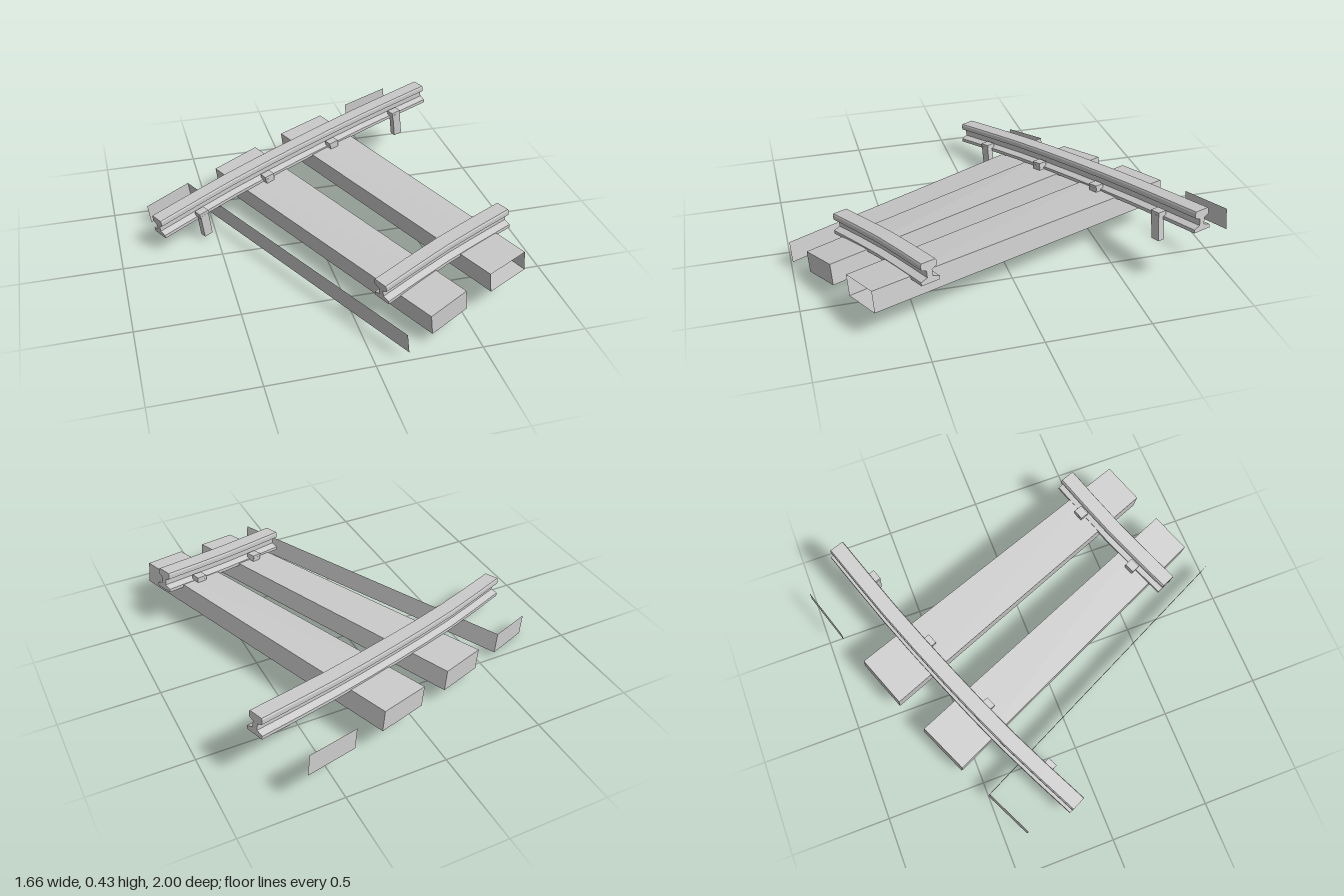
import * as THREE from 'three';

const mat = new THREE.MeshStandardMaterial({ color: 0xcccccc, flatShading: true, side: THREE.DoubleSide });

function addMesh(parent, geometry, name) {
  const mesh = new THREE.Mesh(geometry, mat);
  mesh.name = name;
  parent.add(mesh);
  return mesh;
}

// Sleeper: four top corners [backLow, backHigh, frontHigh, frontLow], dropped by its thickness
const DROP = [0.014, -0.105, -0.006];
const FACES = {
  top: [0, 3, 2, 1], bottom: [4, 5, 6, 7],
  back: [0, 1, 5, 4], front: [2, 3, 7, 6],
  high: [1, 2, 6, 5], low: [3, 0, 4, 7],
};

function sleeperGeometry(top, faces) {
  const corners = [...top, ...top.map(p => p.map((v, i) => v + DROP[i]))];
  const pos = [];
  for (const face of faces) {
    const [a, b, c, d] = FACES[face].map(i => corners[i]);
    pos.push(...a, ...b, ...c, ...a, ...c, ...d);
  }
  const g = new THREE.BufferGeometry();
  g.setAttribute('position', new THREE.Float32BufferAttribute(pos, 3));
  g.computeVertexNormals();
  return g;
}

// Local frame on a rail path: point, sideways (towards the back), up and along
function frameAt(curve, t) {
  const point = curve.getPoint(t);
  const along = curve.getTangent(t);
  const side = new THREE.Vector3(along.z, 0, -along.x).normalize();
  const up = new THREE.Vector3().crossVectors(along, side).normalize();
  return { point, side, up, along };
}

// Rail cross-section, half of it mirrored: head, web and foot; the top of the head is at 0
function railShape() {
  const half = [[0.036, 0], [0.04, -0.008], [0.04, -0.03], [0.014, -0.042],
    [0.014, -0.074], [0.047, -0.085], [0.047, -0.102]];
  const mirrored = half.map(([u, v]) => [-u, v]).reverse();
  return new THREE.Shape([...half, ...mirrored].map(p => new THREE.Vector2(...p)));
}

function railGeometry(curve, steps) {
  const g = new THREE.ExtrudeGeometry(railShape(), { depth: 1, steps, bevelEnabled: false });
  const pos = g.attributes.position;
  for (let i = 0; i < pos.count; i++) {
    const f = frameAt(curve, pos.getZ(i));
    const p = f.point.addScaledVector(f.side, pos.getX(i)).addScaledVector(f.up, pos.getY(i));
    pos.setXYZ(i, p.x, p.y, p.z);
  }
  g.computeVertexNormals();
  return g;
}

// Spike: a shaft driven down beside the rail and a head hooked over the foot
function addSpike(parent, curve, t, sign) {
  const f = frameAt(curve, t);
  const spike = new THREE.Group();
  spike.name = 'spike';
  const shaft = addMesh(spike, new THREE.BoxGeometry(0.034, 0.13, 0.048), 'spikeShaft');
  shaft.position.set(sign * 0.06, -0.14, 0);
  const head = addMesh(spike, new THREE.BoxGeometry(0.045, 0.026, 0.054), 'spikeHead');
  head.position.set(sign * 0.054, -0.073, 0);
  spike.matrixAutoUpdate = true;
  spike.quaternion.setFromRotationMatrix(new THREE.Matrix4().makeBasis(f.side, f.up, f.along));
  spike.position.copy(f.point);
  parent.add(spike);
}

export function createModel() {
  const model = new THREE.Group();
  model.name = 'railTrack';

  // Two whole sleepers, and the remaining boards of the broken ones at each end
  const sleepers = [
    ['brokenSleeperLow', [[-0.83, 0.105, -0.38], [-0.595, 0.145, -0.495], [0.138, 0.145, 1.0], [-0.05, 0.105, 1.09]],
      ['back', 'high']],
    ['sleeperLow', [[-0.43, 0.165, -0.575], [-0.185, 0.205, -0.685], [0.465, 0.205, 0.845], [0.27, 0.165, 0.93]],
      ['top', 'bottom', 'back', 'front', 'high', 'low']],
    ['sleeperHigh', [[-0.02, 0.232, -0.755], [0.235, 0.265, -0.852], [0.802, 0.265, 0.71], [0.602, 0.232, 0.79]],
      ['top', 'bottom', 'back', 'high', 'low']],
    ['brokenSleeperHigh', [[0.4, 0.285, -0.91], [0.66, 0.32, -0.994], [1.1, 0.32, 0.6], [0.9, 0.285, 0.7]],
      ['back']],
  ];
  for (const [name, top, faces] of sleepers) addMesh(model, sleeperGeometry(top, faces), name);

  // Curved, climbing rails with their spikes on the inner side
  const rails = [
    ['backRail', [[-0.805, 0.195, -0.112], [-0.4, 0.257, -0.315], [0, 0.316, -0.488], [0.4, 0.373, -0.645], [0.803, 0.43, -0.785]],
      8, -1, [0.125, 0.365, 0.615, 0.87]],
    ['frontRail', [[0.09, 0.25, 0.745], [0.44, 0.31, 0.59], [0.79, 0.365, 0.46]],
      4, 1, [0.25, 0.755]],
  ];
  for (const [name, points, steps, sign, spikes] of rails) {
    const curve = new THREE.CatmullRomCurve3(points.map(p => new THREE.Vector3(...p)));
    addMesh(model, railGeometry(curve, steps), name);
    for (const t of spikes) addSpike(model, curve, t, sign);
  }
  return model;
}
